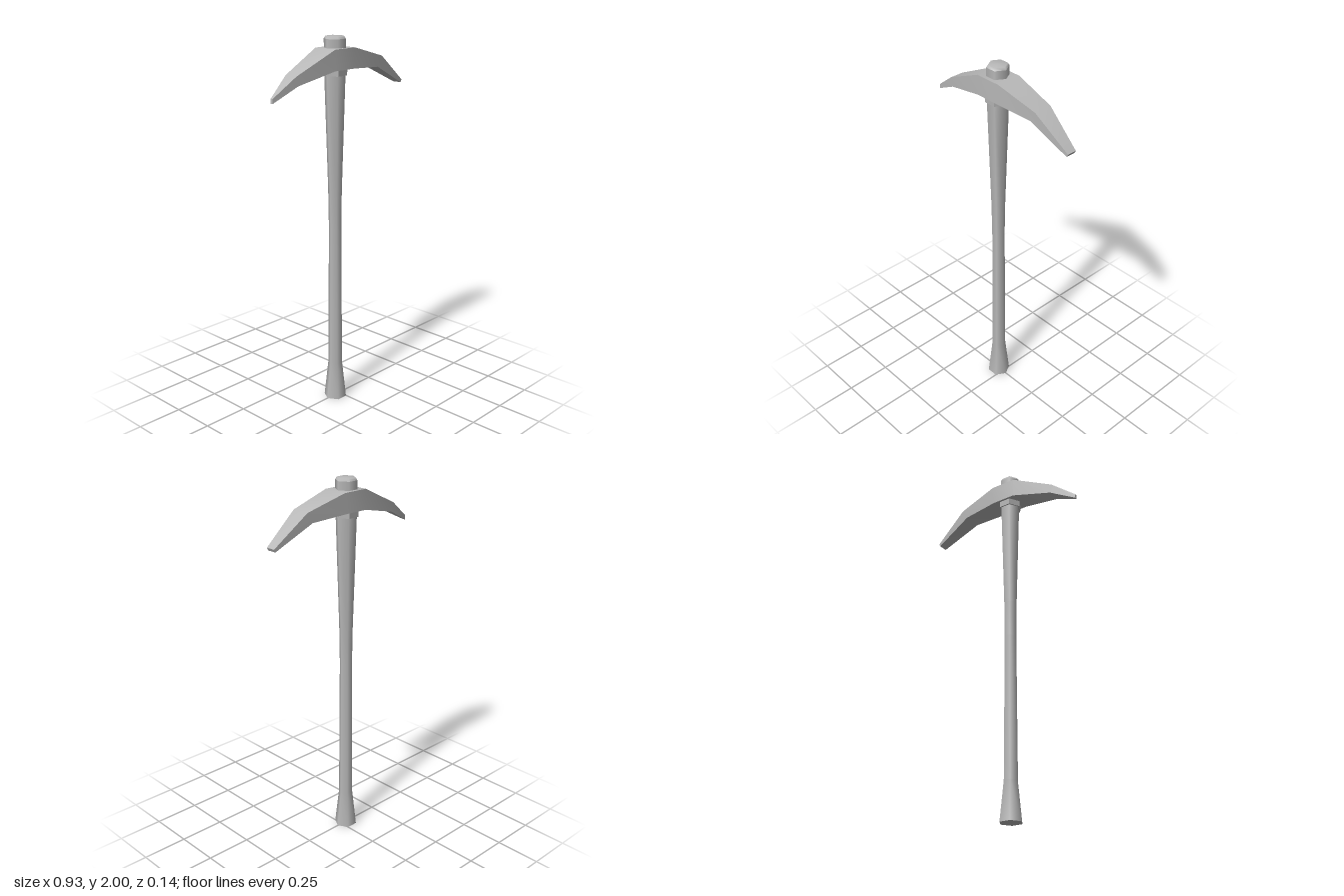
import * as THREE from 'three';

const AXIS_X = -0.032; // handle sits slightly off the head's middle

export function createModel() {
  const model = new THREE.Group();
  const grey = new THREE.MeshStandardMaterial({ color: 0xb8b8b8 });
  grey.name = 'grey';

  const add = (name, geometry, x = 0, y = 0) => {
    const mesh = new THREE.Mesh(geometry, grey);
    mesh.name = name;
    mesh.position.set(x, y, 0);
    model.add(mesh);
    return mesh;
  };

  // Six-sided turned part with corners on the x axis, from [radius, height] pairs
  const turned = (name, profile) => add(name, new THREE.LatheGeometry(
    profile.map(([r, y]) => new THREE.Vector2(r, y)), 6, Math.PI / 2), AXIS_X);

  // Handle: flared foot, slim grip, widening towards the head
  turned('handleShaft', [[0.062, 0], [0.039, 0.21], [0.034, 1.0], [0.037, 1.2], [0.056, 1.82]]);
  add('handleFoot', new THREE.CircleGeometry(0.062, 6).rotateX(Math.PI / 2), AXIS_X);

  // Collar under the head
  const collar = new THREE.CylinderGeometry(0.066, 0.063, 0.036, 6).rotateY(Math.PI / 2).toNonIndexed();
  collar.computeVertexNormals();
  add('collar', collar, AXIS_X, 1.82);

  // Handle end above the head, with a bevelled, gently domed top
  turned('handleEnd', [[0.057, 1.83], [0.057, 1.985]]);
  turned('handleEndTop', [[0.057, 1.985], [0.049, 1.998], [0, 2]]);

  // Head: pointed pick on one side, flat adze on the other
  add('pickHead', headGeometry([
    // top x, top y, bottom x, bottom y, half width
    [-0.465, 1.735, -0.467, 1.71, 0.007],
    [-0.337, 1.83, -0.325, 1.782, 0.038],
    [-0.1, 1.94, -0.1, 1.834, 0.069],
    [0.043, 1.94, 0.035, 1.834, 0.069],
    [0.272, 1.877, 0.24, 1.822, 0.05],
    [0.465, 1.73, 0.457, 1.715, 0.026],
  ]));

  return model;
}

// Lofts four-cornered sections; every side is smooth along its length with sharp edges between sides
function headGeometry(sections) {
  const rings = sections.map(([xt, yt, xb, yb, w]) =>
    [[xt, yt, w], [xt, yt, -w], [xb, yb, -w], [xb, yb, w]]);
  const positions = [];
  const index = [];
  for (let side = 0; side < 4; side++) {
    const base = positions.length / 3;
    for (const ring of rings) positions.push(...ring[side], ...ring[(side + 1) % 4]);
    for (let i = 0; i < rings.length - 1; i++) {
      const a = base + i * 2;
      index.push(a, a + 2, a + 1, a + 1, a + 2, a + 3);
    }
  }
  // Closed tips
  for (const ring of [rings[0], [...rings[rings.length - 1]].reverse()]) {
    const base = positions.length / 3;
    positions.push(...ring.flat());
    index.push(base, base + 1, base + 2, base, base + 2, base + 3);
  }
  const geometry = new THREE.BufferGeometry();
  geometry.setAttribute('position', new THREE.Float32BufferAttribute(positions, 3));
  geometry.setIndex(index);
  geometry.computeVertexNormals();
  return geometry;
}
